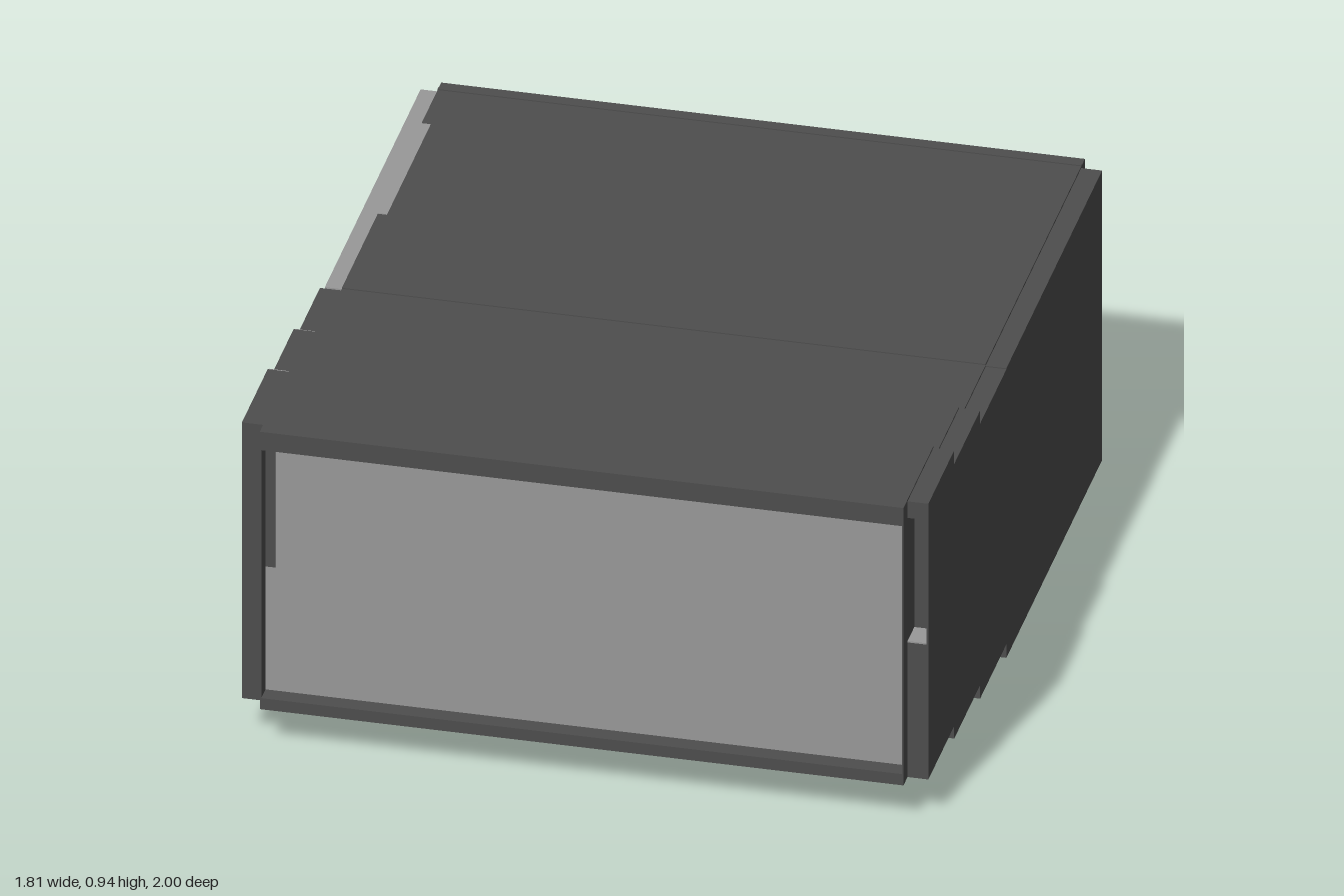
import * as THREE from 'three';

const dark = new THREE.MeshStandardMaterial({ color: 0x4e4e4e });
const light = new THREE.MeshStandardMaterial({ color: 0x999999 });

// Box given by its limits on each axis
function box(name, [x0, x1], [y0, y1], [z0, z1], material) {
  const mesh = new THREE.Mesh(new THREE.BoxGeometry(x1 - x0, y1 - y0, z1 - z0), material);
  mesh.position.set((x0 + x1) / 2, (y0 + y1) / 2, (z0 + z1) / 2);
  mesh.name = name;
  return mesh;
}

// Stepped side profile, extruded across the width between x0 and x1; drop lowers its top
function steppedSlab(name, x0, x1, zBack, zFront, drop) {
  const steps = [
    { z: zBack, low: 0, high: 0.861 },
    { z: 0.095, low: 0.04, high: 0.858 },
    { z: 0.385, low: 0.08, high: 0.897 },
    { z: 0.67, low: 0.117, high: 0.937 },
  ].filter((s, i) => i > 0 ? s.z >= zBack : zBack < 0);
  const points = [];
  const ends = steps.map((s, i) => (i + 1 < steps.length ? steps[i + 1].z : zFront));
  steps.forEach((s, i) => points.push([s.z, s.low], [ends[i], s.low]));
  for (let i = steps.length - 1; i >= 0; i--) {
    points.push([ends[i], steps[i].high - drop], [steps[i].z, steps[i].high - drop]);
  }
  const shape = new THREE.Shape(points.map(([z, y]) => new THREE.Vector2(z, y)));
  const geometry = new THREE.ExtrudeGeometry(shape, { depth: x1 - x0, bevelEnabled: false });
  geometry.rotateY(-Math.PI / 2);
  geometry.translate(x1, 0, 0);
  const mesh = new THREE.Mesh(geometry, dark);
  mesh.name = name;
  return mesh;
}

export function createModel() {
  const model = new THREE.Group();
  model.name = 'steppedCabinet';

  // Core runs the full length; the side walls stop short to notch the corners
  model.add(steppedSlab('core', -0.85, 0.85, -1, 0.95, 0));
  model.add(steppedSlab('leftWall', 0.85, 0.905, -0.96, 0.88, 0.005));
  model.add(steppedSlab('rightFrontWall', -0.908, -0.85, 0.095, 0.955, 0.005));

  // Front end of the left wall: a pocket above a pale ledge, behind a thin outer skin
  const leftEnd = new THREE.Group();
  leftEnd.name = 'leftWallEnd';
  leftEnd.add(box('lowerBlock', [0.85, 0.905], [0.117, 0.515], [0.88, 0.955], dark));
  leftEnd.add(box('ledge', [0.85, 0.9], [0.515, 0.519], [0.88, 0.955], light));
  leftEnd.add(box('outerSkin', [0.9, 0.905], [0.515, 0.883], [0.88, 0.955], dark));
  leftEnd.add(box('topBlock', [0.85, 0.905], [0.883, 0.932], [0.88, 0.955], dark));
  model.add(leftEnd);

  // Pale rear panel on the right side
  model.add(box('rightRearPanel', [-0.895, -0.85], [0.004, 0.857], [-0.96, 0.095], light));

  // Front frame standing proud of the pale recessed panel
  const frame = new THREE.Group();
  frame.name = 'frontFrame';
  frame.add(box('frameTop', [-0.85, 0.85], [0.883, 0.937], [0.95, 1], dark));
  frame.add(box('frameBottom', [-0.85, 0.85], [0.117, 0.15], [0.95, 1], dark));
  for (const side of [-1, 1]) {
    const xs = [side * 0.85, side * 0.846].sort((a, b) => a - b);
    frame.add(box('framePost', xs, [0.15, 0.883], [0.95, 1], dark));
  }
  frame.add(box('frameCornerStrip', [-0.846, -0.82], [0.515, 0.883], [0.95, 0.956], dark));
  model.add(frame);
  model.add(box('frontPanel', [-0.846, 0.846], [0.15, 0.883], [0.949, 0.953], light));

  // Pale patch on the back
  model.add(box('backPatch', [-0.85, -0.18], [0.14, 0.86], [-1.001, -0.999], light));

  // Pale strips on the backward-facing risers of the top steps
  for (const [x, z, low, high] of [[0.42, 0.385, 0.859, 0.892], [0.63, 0.67, 0.898, 0.932]]) {
    model.add(box('riserStrip', [-0.905, x], [low, high], [z - 0.002, z + 0.001], light));
  }

  // Rear roof: low rim and a short pale strip beside the right panel
  model.add(box('rearRim', [-0.85, 0.85], [0.855, 0.864], [-0.97, -0.96], dark));
  model.add(box('roofStrip', [-0.85, -0.825], [0.858, 0.863], [-0.78, -0.3], light));
  return model;
}
